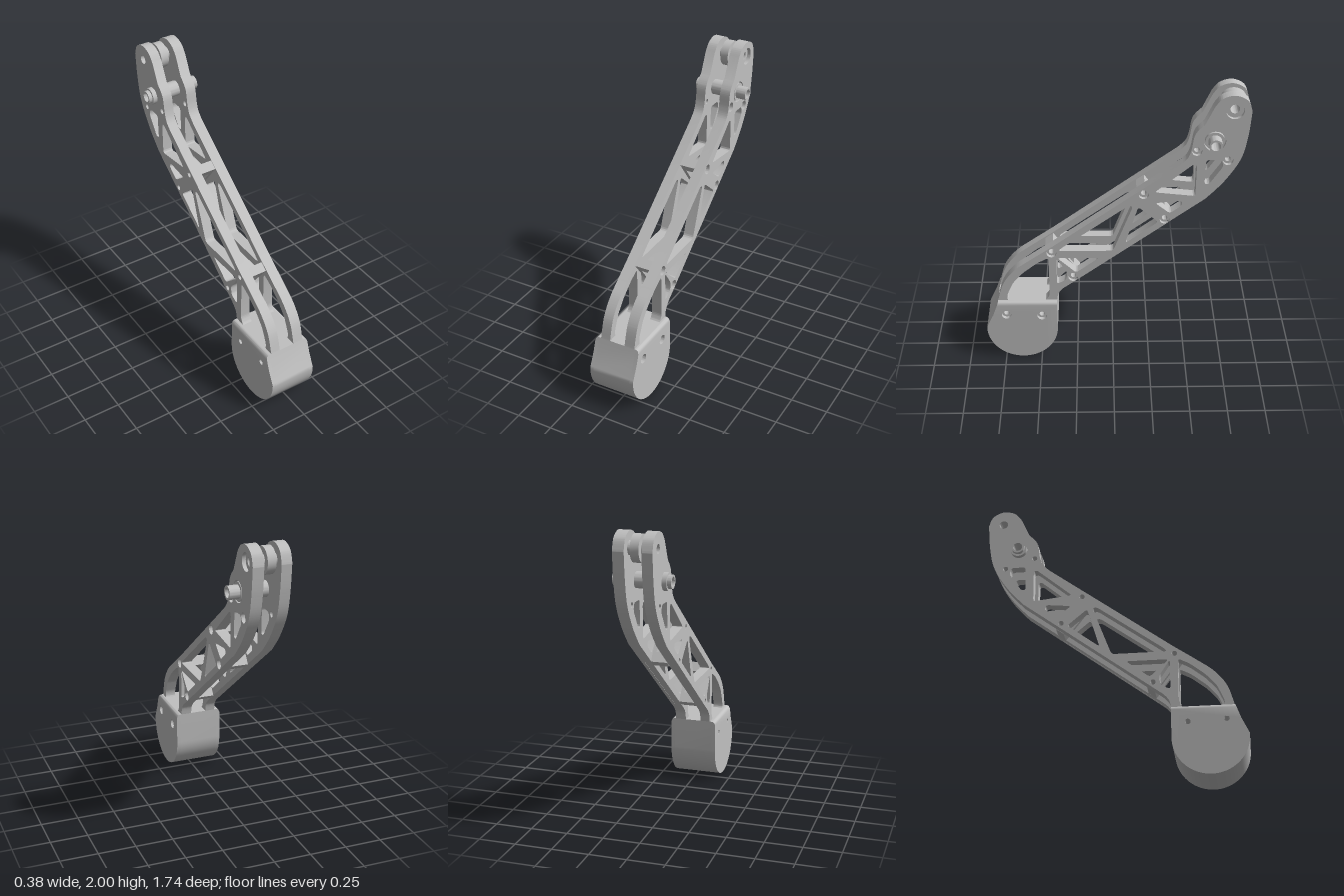
import * as THREE from 'three';
import { toCreasedNormals } from 'three/addons/utils/BufferGeometryUtils.js';

// All profile points are [z, y]; slabs are extruded along x.
const V = ([z, y]) => new THREE.Vector2(-z, y);

// Counter-clockwise polygon hole with softened corners
function rounded(points, r) {
  const p = points.map(V), n = p.length, path = new THREE.Path();
  if (THREE.ShapeUtils.isClockWise(p)) p.reverse();
  p.forEach((c, i) => {
    const toward = (q) => {
      const d = q.clone().sub(c);
      return c.clone().addScaledVector(d, Math.min(r / d.length(), 0.45));
    };
    const a = toward(p[(i + n - 1) % n]), b = toward(p[(i + 1) % n]);
    if (i === 0) path.moveTo(a.x, a.y); else path.lineTo(a.x, a.y);
    path.quadraticCurveTo(c.x, c.y, b.x, b.y);
  });
  path.closePath();
  return path;
}

function circle([z, y], r, target = new THREE.Path()) {
  target.absarc(-z, y, r, 0, Math.PI * 2, false);
  return target;
}

function ringShape(center, outer, inner) {
  const s = circle(center, outer, new THREE.Shape());
  s.holes.push(circle(center, inner));
  return s;
}

function slabGeometry(shape, x0, x1, steps = 1) {
  const g = new THREE.ExtrudeGeometry(shape, { depth: x1 - x0, steps, bevelEnabled: false, curveSegments: 20 });
  return g.rotateY(Math.PI / 2).translate(x0, 0, 0);
}

const TOP = [-0.762, 1.897], PIVOT = [-0.645, 1.682];
const SCREWS = [[-0.534, 1.613], [-0.735, 1.544], [-0.2, 1.295], [-0.34, 1.105], [0.413, 0.843], [0.27, 0.648]];
const FOOT_SCREWS = [[0.735, 0.36], [0.49, 0.35]];
const BORE = 0.018, SINK = 0.033;

// Truss openings of each side plate
const OPENINGS = [
  [[0.725, 0.455], [0.727, 0.5], [0.68, 0.605], [0.61, 0.685], [0.51, 0.765], [0.434, 0.805], [0.434, 0.5], [0.46, 0.455]],
  [[0.365, 0.86], [0.35, 0.88], [-0.1, 1.21], [-0.13, 1.205], [0.0, 0.86]],
  [[0.375, 0.803], [0.095, 0.803], [0.25, 0.685]],
  [[0.382, 0.8], [0.31, 0.69], [0.318, 0.625], [0.382, 0.592]],
  [[-0.165, 1.2], [-0.298, 1.085], [-0.08, 0.92]],
  [[-0.275, 1.23], [-0.445, 1.248], [-0.455, 1.215], [-0.372, 1.152]],
  [[-0.27, 1.312], [-0.515, 1.518], [-0.537, 1.51], [-0.535, 1.282]],
  [[-0.595, 1.548], [-0.695, 1.548], [-0.706, 1.5], [-0.62, 1.372], [-0.59, 1.372]],
];

function plateShape(screwRadius, topRadius, pivotRadius) {
  const s = new THREE.Shape();
  const line = (...pts) => pts.map(V).forEach((p) => s.lineTo(p.x, p.y));
  const curve = (...pts) => s.splineThru(pts.map(V));
  const start = V([0.8, 0.43]);
  s.moveTo(start.x, start.y);
  line([0.79, 0.46]);
  curve([0.746, 0.6], [0.667, 0.705], [0.56, 0.787], [0.413, 0.89]);
  line([-0.43, 1.513]);
  curve([-0.475, 1.56], [-0.497, 1.618], [-0.513, 1.714], [-0.535, 1.757], [-0.577, 1.8]);
  line([-0.635, 1.926]);
  curve([-0.683, 1.98], [-0.762, 2.0], [-0.838, 1.965], [-0.868, 1.894]);
  curve([-0.852, 1.714], [-0.815, 1.554], [-0.72, 1.395], [-0.603, 1.263]);
  line([0.339, 0.557]);
  curve([0.372, 0.515], [0.385, 0.46]);
  line([0.385, 0.43]);
  s.closePath();
  s.holes.push(...OPENINGS.map((o) => rounded(o, 0.022)));
  s.holes.push(...SCREWS.map((c) => circle(c, screwRadius)));
  s.holes.push(circle(TOP, topRadius), circle(PIVOT, pivotRadius));
  return s;
}

function footShape(screwRadius) {
  const s = new THREE.Shape();
  [[0.385, 0.46], [0.79, 0.46], [0.825, 0.36], [0.868, 0.27]].map(V)
    .forEach((p, i) => (i ? s.lineTo(p.x, p.y) : s.moveTo(p.x, p.y)));
  // round underside, from front to back
  s.absarc(-0.629, 0.245, 0.245, Math.PI - 0.05, Math.PI * 2, false);
  s.closePath();
  s.holes.push(...FOOT_SCREWS.map((c) => circle(c, screwRadius)));
  return s;
}

export function createModel() {
  const model = new THREE.Group();
  model.name = 'linkArm';
  const metal = new THREE.MeshStandardMaterial({ color: 0xc0c0c0 });
  metal.name = 'grey metal';

  const add = (name, geometry, parent) => {
    const mesh = new THREE.Mesh(toCreasedNormals(geometry, 0.6), metal);
    mesh.name = name;
    parent.add(mesh);
  };
  const slab = (name, shape, x0, x1, parent = model) => add(name, slabGeometry(shape, x0, x1), parent);
  const ring = (name, center, x0, x1, outer, inner, parent) =>
    slab(name, ringShape(center, outer, inner), x0, x1, parent);
  const group = (name) => {
    const g = new THREE.Group();
    g.name = name;
    model.add(g);
    return g;
  };

  // Side plates; the left one has countersunk holes on its outside
  slab('rightPlate', plateShape(BORE, 0.03, 0.044), -0.135, -0.067);
  const left = group('leftPlate');
  slab('leftPlateInner', plateShape(BORE, 0.03, 0.044), 0.042, 0.09, left);
  slab('leftPlateOuter', plateShape(SINK, 0.058, 0.07), 0.09, 0.115, left);

  // Foot: a core with two skins whose outer top edges are rounded off
  const foot = group('foot');
  slab('footCore', footShape(BORE), -0.15, 0.125, foot);
  const skin = (name, x0, x1, outerX, radius) => {
    const g = slabGeometry(footShape(radius), x0, x1, 4), p = g.attributes.position;
    for (let i = 0; i < p.count; i++) {
      if (p.getY(i) < 0.45) continue;
      const t = 1 - Math.abs(p.getX(i) - outerX) / 0.025;
      const drop = 0.025 * (1 - Math.sqrt(Math.max(0, 1 - t * t)));
      p.setY(i, 0.46 - drop);
      // stay on the sloping front face
      if (p.getZ(i) > 0.7) p.setZ(i, 0.79 + drop * 0.35);
    }
    add(name, g, foot);
  };
  skin('footRightSkin', -0.175, -0.15, -0.175, BORE);
  skin('footLeftSkin', 0.125, 0.15, 0.15, SINK);

  // Flat tilted spacers between the plates: two rails, two end blocks, a window
  [[SCREWS[4], SCREWS[5]], [SCREWS[2], SCREWS[3]]].forEach(([upper, lower], i) => {
    const spacer = group(i ? 'upperSpacer' : 'lowerSpacer');
    const a = V(upper), b = V(lower);
    const mid = a.clone().add(b).multiplyScalar(0.5);
    const along = a.clone().sub(b).normalize();
    const across = new THREE.Vector2(-along.y, along.x);
    const block = (s0, s1, screws) => {
      const shape = new THREE.Shape([[s0, -1], [s1, -1], [s1, 1], [s0, 1]].map(([s, t]) =>
        mid.clone().addScaledVector(along, s).addScaledVector(across, t * 0.0325)));
      shape.holes.push(...screws.map((c) => circle(c, BORE)));
      return shape;
    };
    const rail = block(-0.152, 0.152, [upper, lower]);
    slab('spacerRail', rail, -0.067, -0.042, spacer);
    slab('spacerRail', rail, 0.017, 0.042, spacer);
    slab('spacerEnd', block(0.082, 0.152, [upper]), -0.042, 0.017, spacer);
    slab('spacerEnd', block(-0.152, -0.082, [lower]), -0.042, 0.017, spacer);
  });

  // Roller and its axle at the tip
  ring('rollerAxle', TOP, -0.067, 0.042, 0.045, 0.03);
  ring('roller', TOP, -0.043, 0.012, 0.087, 0.04);

  // Hollow pivot pin with collars and a bearing ring set into the left plate
  const pin = group('pivotPin');
  ring('pinTube', PIVOT, -0.19, 0.185, 0.044, 0.031, pin);
  ring('pinHead', PIVOT, -0.165, -0.135, 0.057, 0.04, pin);
  ring('pinSleeve', PIVOT, -0.067, 0.042, 0.052, 0.04, pin);
  ring('pinBearing', PIVOT, 0.09, 0.115, 0.062, 0.04, pin);

  return model;
}
